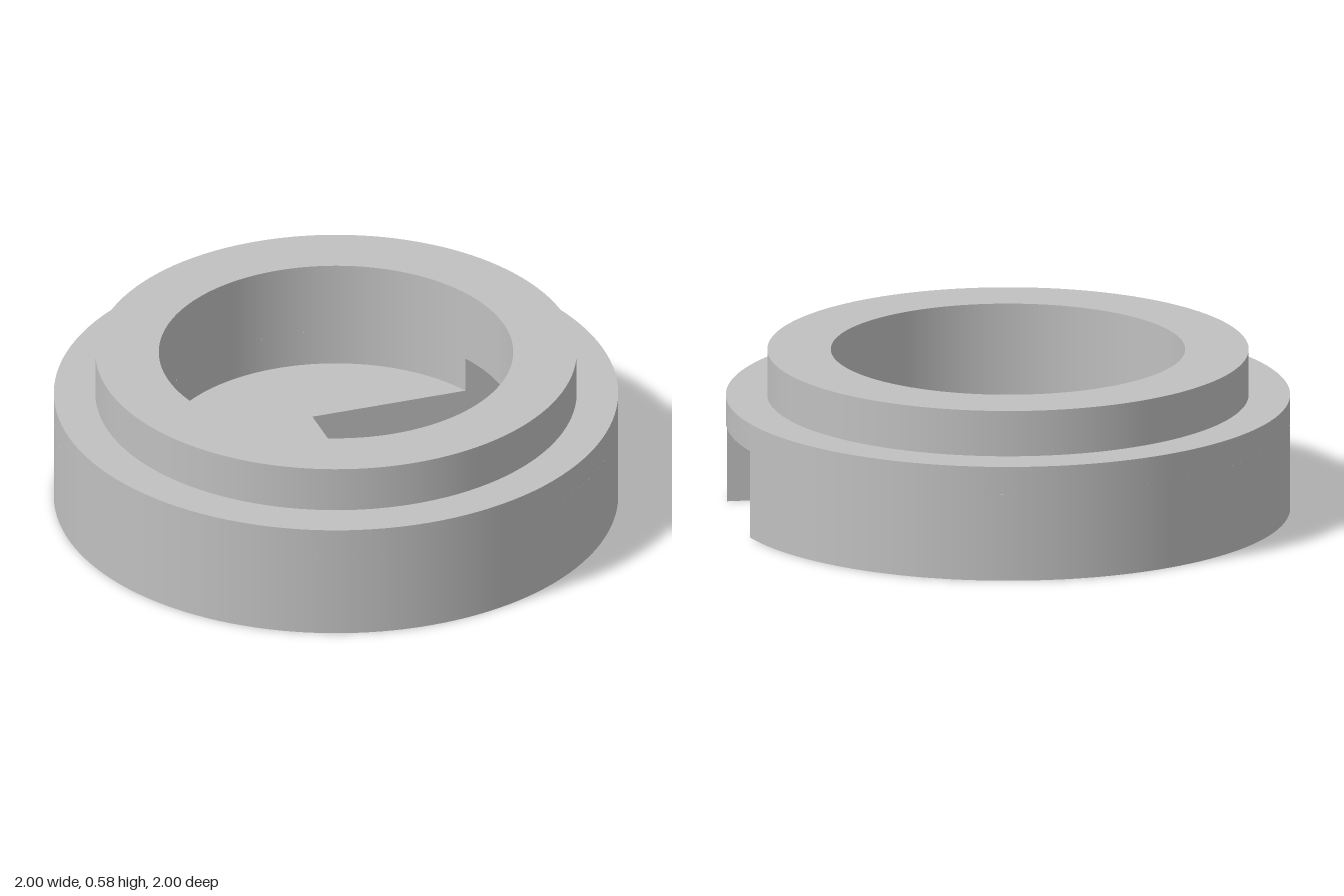
import * as THREE from 'three';

const R = 1, COLLAR = 0.853, BORE = 0.628;             // radii
const FLOOR = 0.187, ROOF = 0.317, LEDGE = 0.417, TOP = 0.583; // heights
const W = 0.254;                                        // half width of the slot
const SEG = 128;
const aOuter = Math.asin(W / R), aBore = Math.asin(W / BORE);

export function createModel() {
  const group = new THREE.Group();
  const grey = new THREE.MeshStandardMaterial({ color: 0xc0c0c0 });
  grey.name = 'plain grey';

  const add = (name, geometry) => {
    const mesh = new THREE.Mesh(geometry, grey);
    mesh.name = name;
    group.add(mesh);
  };

  // Band turned about y from one profile point to the next, open by +-gap around +x
  const turned = (r0, y0, r1, y1, gap = 0) => {
    const points = [new THREE.Vector2(r0, y0), new THREE.Vector2(r1, y1)];
    const g = new THREE.LatheGeometry(points, SEG, Math.PI / 2 + gap, Math.PI * 2 - 2 * gap);
    g.normalizeNormals();
    return g;
  };

  // Flat horizontal face at height y, facing up (1) or down (-1)
  const flat = (shape, y, facing) =>
    new THREE.ShapeGeometry(shape, SEG).rotateX(-facing * Math.PI / 2).translate(0, y, 0);

  // Disc with the slot cut from its centre to the +x edge
  const slottedDisc = (r, a) => {
    const s = new THREE.Shape();
    s.absarc(0, 0, r, a, Math.PI * 2 - a, false);
    s.lineTo(0, -W);
    s.lineTo(0, W);
    s.closePath();
    return s;
  };

  // Outer body
  add('base', flat(slottedDisc(R, aOuter), 0, -1));
  add('lowerOuterWall', turned(R, 0, R, ROOF, aOuter));
  add('upperOuterWall', turned(R, ROOF, R, LEDGE));
  add('ledge', turned(R, LEDGE, COLLAR, LEDGE));

  // Raised collar
  add('collarWall', turned(COLLAR, LEDGE, COLLAR, TOP));
  add('collarRim', turned(COLLAR, TOP, BORE, TOP));

  // Round recess
  add('upperBoreWall', turned(BORE, TOP, BORE, ROOF));
  add('lowerBoreWall', turned(BORE, ROOF, BORE, FLOOR, aBore));
  add('recessFloor', flat(slottedDisc(BORE, aBore), FLOOR, 1));

  // Slot roof, between the bore and the outer wall
  const roof = new THREE.Shape();
  roof.absarc(0, 0, R, -aOuter, aOuter, false);
  roof.absarc(0, 0, BORE, aBore, -aBore, true);
  roof.closePath();
  add('slotRoof', flat(roof, ROOF, -1));

  // Slot end wall and its two stepped side walls
  add('slotEnd', new THREE.PlaneGeometry(2 * W, FLOOR).rotateY(Math.PI / 2).translate(0, FLOOR / 2, 0));
  const xOuter = R * Math.cos(aOuter), xBore = BORE * Math.cos(aBore);
  const profile = [[0, 0], [xOuter, 0], [xOuter, ROOF], [xBore, ROOF], [xBore, FLOOR], [0, FLOOR]];
  for (const s of [1, -1]) {
    const side = new THREE.Shape(profile.map(([x, y]) => new THREE.Vector2(s * x, y)));
    const g = new THREE.ShapeGeometry(side);
    if (s < 0) g.rotateY(Math.PI);
    add(s > 0 ? 'slotBackSide' : 'slotFrontSide', g.translate(0, 0, -s * W));
  }

  return group;
}
